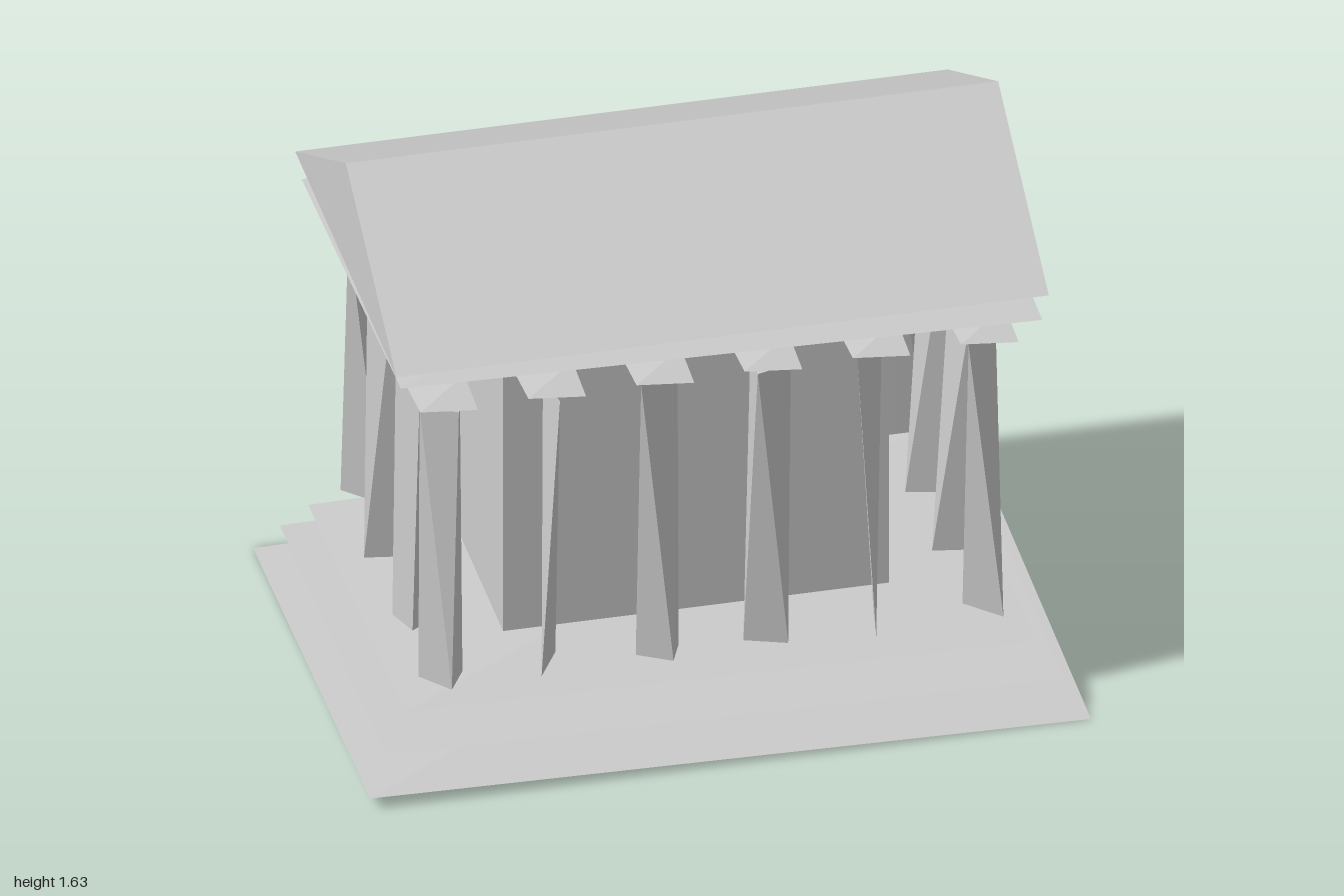
import * as THREE from 'three';
import { ConvexGeometry } from 'three/addons/geometries/ConvexGeometry.js';

const stone = new THREE.MeshStandardMaterial({ color: 0xcccccc, flatShading: true, side: THREE.DoubleSide });
stone.name = 'stone grey';

function add(parent, name, geometry, x = 0, y = 0, z = 0) {
  const mesh = new THREE.Mesh(geometry, stone);
  mesh.name = name;
  mesh.position.set(x, y, z);
  parent.add(mesh);
  return mesh;
}

// Thin sheet folded along one diagonal, with two corners high and two low
function foldedSlab(hx, hz, low, high) {
  const g = new THREE.BufferGeometry();
  g.setAttribute('position', new THREE.Float32BufferAttribute([
    -hx, high, hz, hx, low, hz, hx, high, -hz, -hx, low, -hz], 3));
  g.setIndex([0, 1, 2, 0, 2, 3]);
  g.computeVertexNormals();
  return g;
}

// Faceted twisted shaft: corner angles (degrees) of its top and bottom ends
const BOTTOM = 0.255, TOP = 1.13, RADIUS = 0.065;
function shaft(top, bottom, turn) {
  const ring = (angles, y) => angles.map((deg) => {
    const a = THREE.MathUtils.degToRad(deg + turn);
    return new THREE.Vector3(RADIUS * Math.cos(a), y, RADIUS * Math.sin(a));
  });
  return new ConvexGeometry([...ring(top, TOP), ...ring(bottom, BOTTOM)]);
}

// x, z, top angles, bottom angles; each is repeated half a turn around the centre
const COLUMNS = [
  [-0.75, 0.475, [175, 60, -30], [200, 80, -20]],
  [-0.45, 0.475, [80, -95], [125, -65]],
  [-0.15, 0.475, [150, -25], [175, 65, -20]],
  [0.15, 0.475, [125, 240, 20], [180, 40]],
  [0.45, 0.475, [150, -60], [100, -80]],
  [0.75, 0.475, [140, -45], [45, 225]],
  [0.75, 0.16, [45, -90], [10, 190]],
  [0.75, -0.16, [50, -90], [30, -70, 180]],
];

export function createModel() {
  const temple = new THREE.Group();
  temple.name = 'temple';

  // Three steps and the beam slab under the roof
  add(temple, 'lowerStep', foldedSlab(1, 0.685, 0, 0.035));
  add(temple, 'middleStep', foldedSlab(0.94, 0.625, 0.1, 0.128));
  add(temple, 'upperStep', foldedSlab(0.875, 0.565, 0.192, 0.222));
  add(temple, 'beamSlab', foldedSlab(0.89, 0.58, 1.222, 1.26));

  // Inner chamber
  add(temple, 'chamber', new THREE.BoxGeometry(1.07, TOP - BOTTOM, 0.56), 0, (TOP + BOTTOM) / 2, 0);

  // Colonnade with a capital above each shaft
  for (const [x, z, top, bottom] of COLUMNS) {
    for (const s of [1, -1]) {
      const column = new THREE.Group();
      column.name = 'column';
      column.position.set(s * x, 0, s * z);
      add(column, 'shaft', shaft(top, bottom, s > 0 ? 0 : 180));
      add(column, 'capital', foldedSlab(0.08, 0.08, 1.145, 1.16));
      temple.add(column);
    }
  }

  // Gabled roof with its ridge along x
  const gable = new THREE.Shape([
    new THREE.Vector2(-0.592, 1.305), new THREE.Vector2(0.592, 1.305), new THREE.Vector2(0, 1.627)]);
  const roof = new THREE.ExtrudeGeometry(gable, { depth: 1.81, bevelEnabled: false });
  roof.translate(0, 0, -0.905).rotateY(Math.PI / 2);
  add(temple, 'roof', roof);

  return temple;
}
